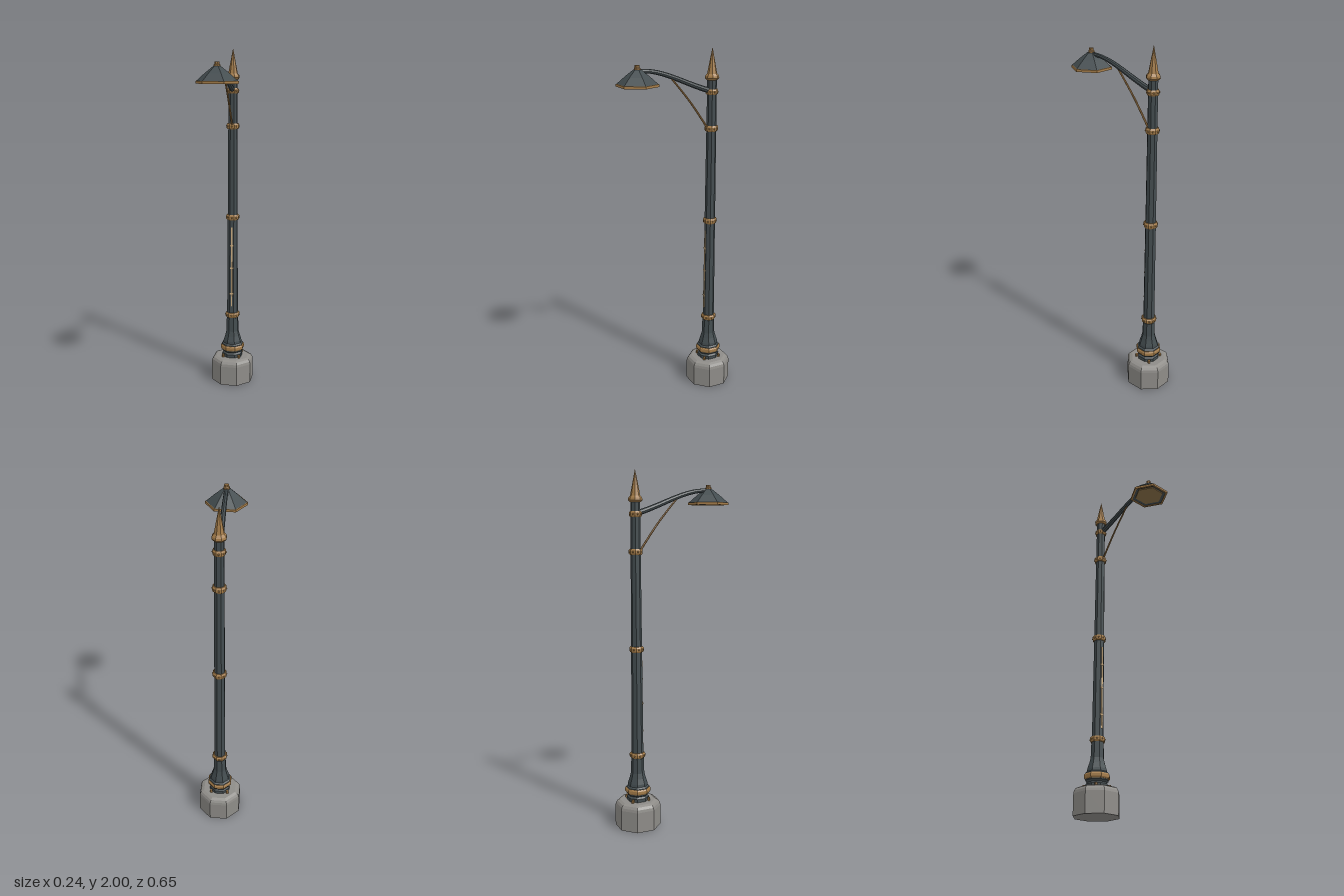
import * as THREE from 'three';

const POST_Z = -0.208, LAMP_Z = 0.228;

function mat(name, color) {
  const m = new THREE.MeshStandardMaterial({ color });
  m.name = name;
  return m;
}

// give every face its own flat normal
function faceted(geo) {
  const g = geo.toNonIndexed();
  g.computeVertexNormals();
  return g;
}

export function createModel() {
  const iron = mat('dark iron', 0x434c4f);
  const brass = mat('aged brass', 0xa47c49);
  const stone = mat('grey stone', 0x8e8c88);
  const inlay = mat('pale inlay', 0xd0b184);
  const glass = mat('dim amber glass', 0x8a7048);

  const model = new THREE.Group();
  model.name = 'streetLamp';

  function add(parent, name, geo, material, x = 0, y = 0, z = 0) {
    const mesh = new THREE.Mesh(geo, material);
    mesh.name = name;
    mesh.position.set(x, y, z);
    parent.add(mesh);
    return mesh;
  }

  // polygonal turned part; profile is [apothem, y], flats face the axes
  function turned(parent, name, profile, material, sides = 8) {
    const k = 1 / Math.cos(Math.PI / sides);
    const pts = profile.map(([r, y]) => new THREE.Vector2(r * k, y));
    const geo = new THREE.LatheGeometry(pts, sides, Math.PI / sides);
    return add(parent, name, faceted(geo), material);
  }

  const post = new THREE.Group();
  post.name = 'post';
  post.position.z = POST_Z;
  model.add(post);

  // stone footing with softened top edge
  turned(post, 'footing', [[0, 0], [0.12, 0], [0.12, 0.118], [0.117, 0.133],
    [0.109, 0.146], [0.094, 0.153], [0, 0.153]], stone);

  // stepped iron plinth, flare and tapering shaft
  turned(post, 'plinth', [[0, 0.15], [0.058, 0.15], [0.058, 0.172], [0.05, 0.182],
    [0.061, 0.192], [0.061, 0.232], [0.053, 0.24], [0.051, 0.255], [0.042, 0.285],
    [0.035, 0.315], [0.033, 0.4], [0, 0.4]], iron);
  turned(post, 'shaft', [[0, 0.39], [0.031, 0.39], [0.024, 1.835], [0, 1.835]], iron);

  // brass bands: y centre, apothem, half height
  const bands = [[0.213, 0.068, 0.015], [0.42, 0.041, 0.015], [1.03, 0.037, 0.016],
    [1.565, 0.035, 0.016], [1.765, 0.032, 0.015]];
  for (const [y, r, h] of bands) {
    turned(post, 'band', [[0.02, y - h], [r - 0.005, y - h], [r, y - h * 0.5],
      [r, y + h * 0.5], [r - 0.005, y + h], [0.02, y + h]], brass);
  }

  // small rivets around the upper bands and anchor bolts around the plinth
  for (let i = 0; i < 8; i++) {
    const a = i * Math.PI / 4;
    for (const [y, r] of bands.slice(1)) {
      add(post, 'rivet', new THREE.SphereGeometry(0.005, 6, 4), brass,
        Math.sin(a) * r, y, Math.cos(a) * r);
    }
    if (i % 2) {
      add(post, 'anchorBolt', faceted(new THREE.CylinderGeometry(0.008, 0.008, 0.02, 6)), brass,
        Math.sin(a) * 0.069, 0.16, Math.cos(a) * 0.069);
    }
  }

  // spire on top
  turned(post, 'finial', [[0, 1.828], [0.028, 1.828], [0.036, 1.838], [0.034, 1.85],
    [0.025, 1.862], [0.021, 1.885], [0.012, 1.935], [0, 2]], brass);

  // pale strip with cross ticks on the front face
  const face = y => 0.031 - 0.007 * (y - 0.39) / 1.445 + 0.001;
  const strip = add(post, 'inlayStrip', new THREE.BoxGeometry(0.008, 0.49, 0.005), inlay, 0, 0.725, face(0.725));
  strip.rotation.x = -0.0048;
  for (const y of [0.56, 0.72, 0.86]) {
    add(post, 'inlayTick', new THREE.BoxGeometry(0.022, 0.008, 0.006), inlay, 0, y, face(y));
  }

  // arm and brace, swept in the x = 0 plane from [z, y] points
  function sweep(name, pts, r0, r1, sides, material) {
    const curve = new THREE.CatmullRomCurve3(pts.map(([z, y]) => new THREE.Vector3(0, y, z)));
    const steps = 20;
    const geo = new THREE.TubeGeometry(curve, steps, 1, sides);
    const p = geo.attributes.position, v = new THREE.Vector3();
    for (let i = 0; i < p.count; i++) {
      const t = Math.floor(i / (sides + 1)) / steps;
      const c = curve.getPointAt(t);
      v.fromBufferAttribute(p, i).sub(c).multiplyScalar(r0 + (r1 - r0) * t).add(c);
      p.setXYZ(i, v.x, v.y, v.z);
    }
    add(model, name, faceted(geo), material);
  }
  sweep('arm', [[-0.205, 1.768], [-0.15, 1.785], [-0.07, 1.815], [0.02, 1.851],
    [0.1, 1.878], [0.17, 1.892], [0.226, 1.894]], 0.0155, 0.011, 8, iron);
  sweep('brace', [[-0.185, 1.565], [-0.14, 1.63], [-0.078, 1.715], [-0.02, 1.785],
    [0.035, 1.848]], 0.006, 0.005, 6, brass);

  // hexagonal lamp head
  const lamp = new THREE.Group();
  lamp.name = 'lampHead';
  lamp.position.z = LAMP_Z;
  model.add(lamp);
  turned(lamp, 'shade', [[0, 1.826], [0.072, 1.826], [0.088, 1.82], [0.096, 1.828],
    [0.056, 1.868], [0.018, 1.902], [0, 1.902]], iron, 6);
  turned(lamp, 'rim', [[0.088, 1.828], [0.088, 1.816], [0.098, 1.816],
    [0.098, 1.829], [0.09, 1.831]], brass, 6);
  turned(lamp, 'glassPanel', [[0, 1.82], [0.072, 1.82], [0.072, 1.827]], glass, 6);
  turned(lamp, 'cap', [[0, 1.895], [0.016, 1.895], [0.016, 1.91], [0.012, 1.914],
    [0.012, 1.925], [0, 1.925]], brass, 8);

  return model;
}
